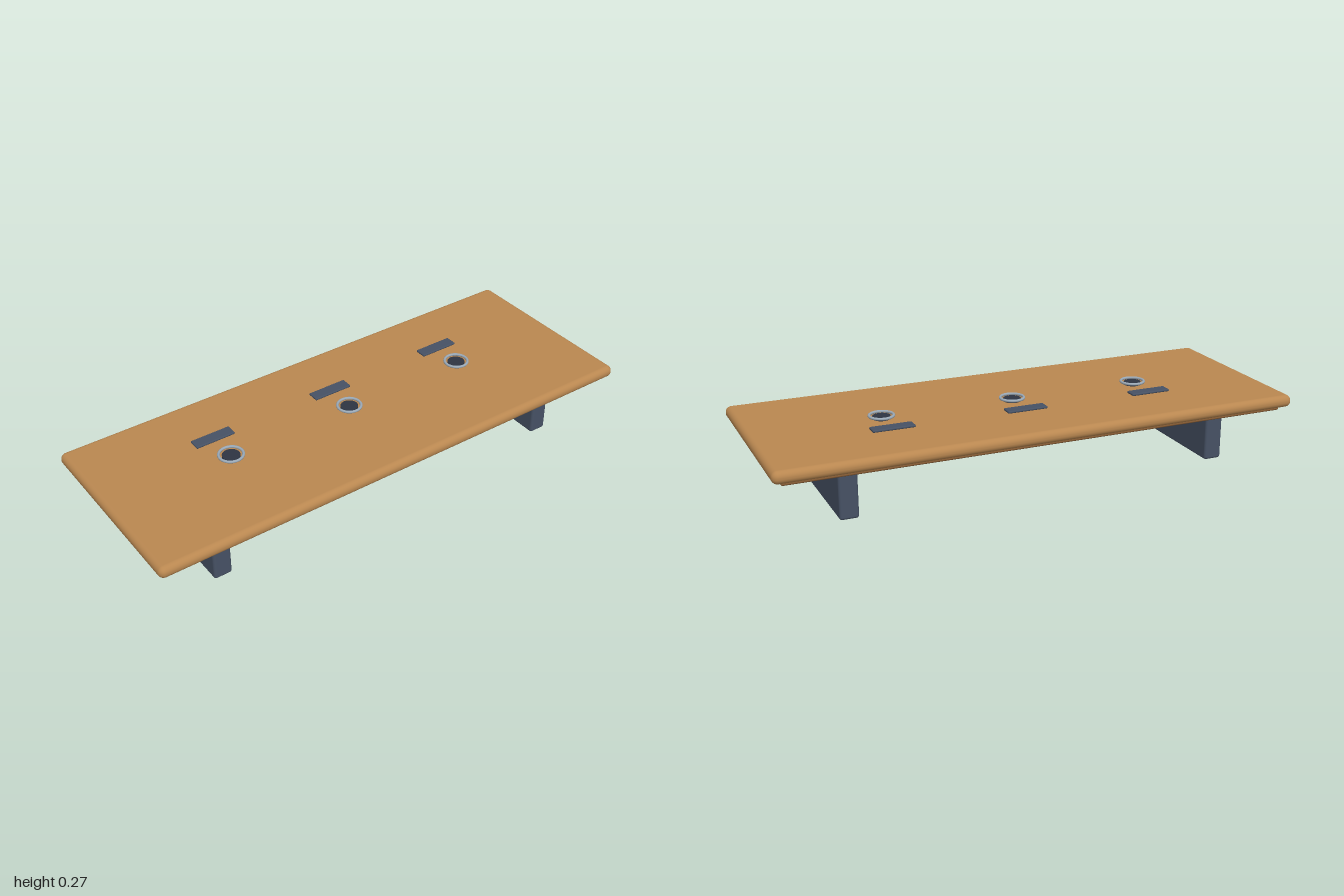
import * as THREE from 'three';
import { RoundedBoxGeometry } from 'three/addons/geometries/RoundedBoxGeometry.js';

const paint = (color) => new THREE.MeshStandardMaterial({ color });

export function createModel() {
  const model = new THREE.Group();
  const wood = paint(0xb98750);
  const darkWood = paint(0x8f6238);
  const slate = paint(0x465164);
  const dark = paint(0x2d3442);
  const steel = paint(0x9aa8b5);

  const add = (name, geometry, material, x, y, z) => {
    const mesh = new THREE.Mesh(geometry, material);
    mesh.name = name;
    mesh.position.set(x, y, z);
    model.add(mesh);
    return mesh;
  };

  // Table top with a rounded edge, and the thinner board under it
  add('tableTop', new RoundedBoxGeometry(2, 0.047, 0.75, 6, 0.0225), wood, 0, 0.2285, 0);
  add('underBoard', new RoundedBoxGeometry(1.93, 0.03, 0.68, 4, 0.007), darkWood, 0, 0.203, 0);

  // Panel legs joined by a round rail
  for (const side of [-1, 1]) {
    add(side > 0 ? 'leftLeg' : 'rightLeg',
      new RoundedBoxGeometry(0.07, 0.2, 0.546, 4, 0.01), slate, side * 0.722, 0.102, 0);
  }
  const rail = add('rail', new THREE.CylinderGeometry(0.0145, 0.0145, 1.42, 24), slate, 0, 0.084, 0);
  rail.rotation.z = Math.PI / 2;

  // Three stations: cable port, trim ring and name plate
  for (const x of [-0.512, 0, 0.512]) {
    add('cablePort', new THREE.CylinderGeometry(0.033, 0.033, 0.012, 32), dark, x, 0.256, 0);
    const ring = add('portRing', new THREE.TorusGeometry(0.0445, 0.0052, 12, 40), steel, x, 0.2638, 0);
    ring.rotation.x = Math.PI / 2;
    add('plate', new RoundedBoxGeometry(0.158, 0.009, 0.047, 3, 0.004), slate, x, 0.2597, -0.126);
  }
  return model;
}
